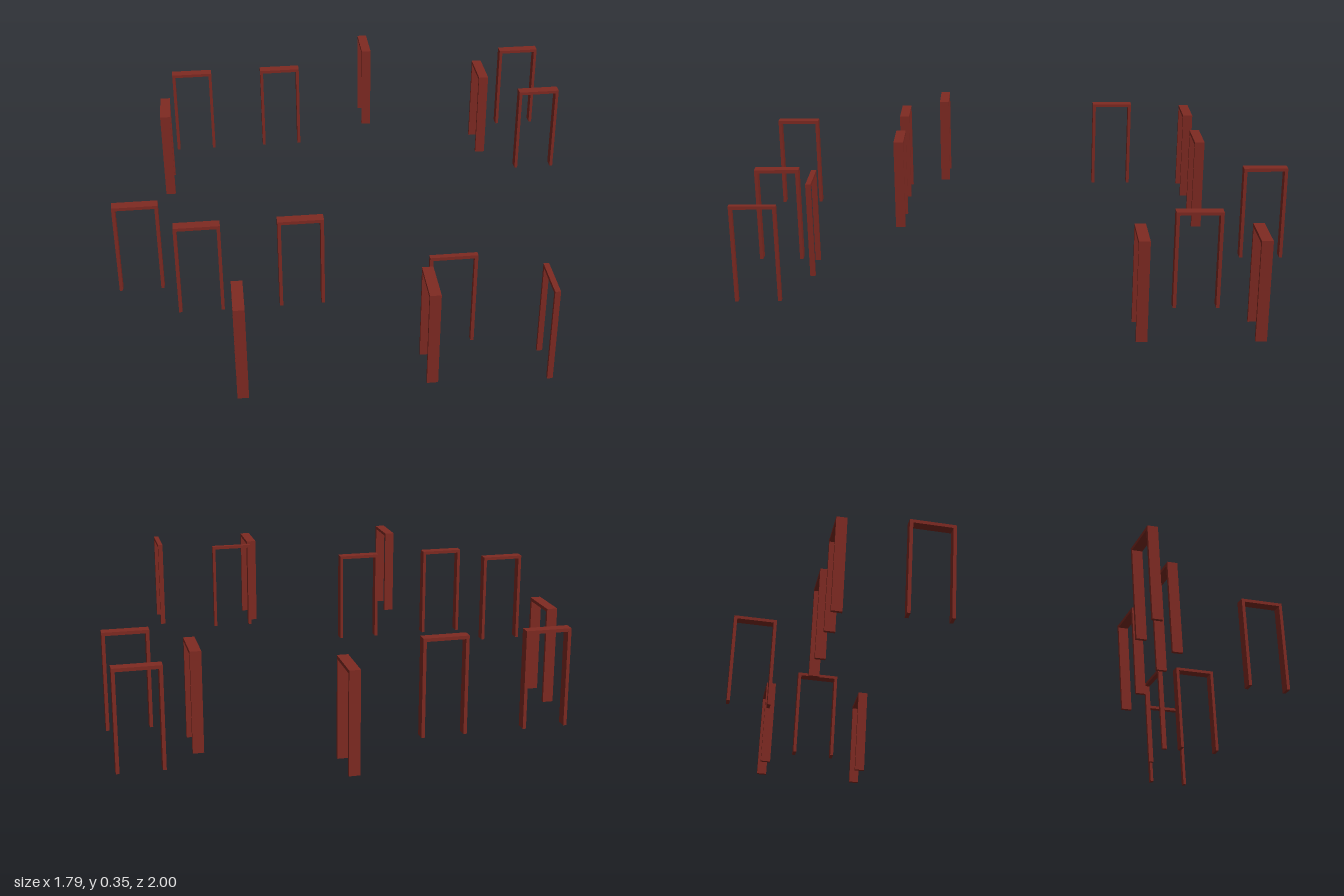
import * as THREE from 'three';

const WIDTH = 0.163, HEIGHT = 0.355, BAR = 0.012;

// One open door frame: two posts and a lintel, spanning x
function doorFrame(depth, material) {
  const frame = new THREE.Group();
  const postHeight = HEIGHT - BAR;
  const add = (name, w, h, x, y) => {
    const mesh = new THREE.Mesh(new THREE.BoxGeometry(w, h, depth), material);
    mesh.name = name;
    mesh.position.set(x, y, 0);
    frame.add(mesh);
  };
  for (const [name, side] of [['leftPost', 1], ['rightPost', -1]]) {
    add(name, BAR, postHeight, side * (WIDTH - BAR) / 2, postHeight / 2);
  }
  add('lintel', WIDTH, BAR, 0, HEIGHT - BAR / 2);
  return frame;
}

export function createModel() {
  const model = new THREE.Group();
  model.name = 'doorFrames';
  const wood = new THREE.MeshStandardMaterial({ color: 0x7f2a22 });
  wood.name = 'redBrownWood';

  const DEEP = 0.038, THIN = 0.019;
  // Centre x, centre z, depth of frames spanning x
  const acrossX = [
    [-0.599, -0.715, DEEP], [-0.231, -0.715, DEEP],
    [0.812, -0.791, DEEP], [0.812, -0.397, DEEP],
    [-0.814, 0.312, DEEP], [-0.599, 0.469, DEEP],
    [-0.238, 0.469, DEEP], [0.253, 0.756, THIN],
  ];
  // Centre x, centre z, depth of frames spanning z
  const acrossZ = [
    [0.155, -0.918, DEEP], [0.611, -0.612, DEEP], [-0.709, -0.411, DEEP],
    [-0.474, 0.903, DEEP], [0.155, 0.895, DEEP], [0.548, 0.918, THIN],
  ];

  const place = (list, turn, name) => list.forEach(([x, z, depth], i) => {
    const frame = doorFrame(depth, wood);
    frame.name = `${name}${i + 1}`;
    frame.position.set(x, 0, z);
    frame.rotation.y = turn;
    model.add(frame);
  });
  place(acrossX, 0, 'crosswiseFrame');
  place(acrossZ, Math.PI / 2, 'lengthwiseFrame');
  return model;
}
